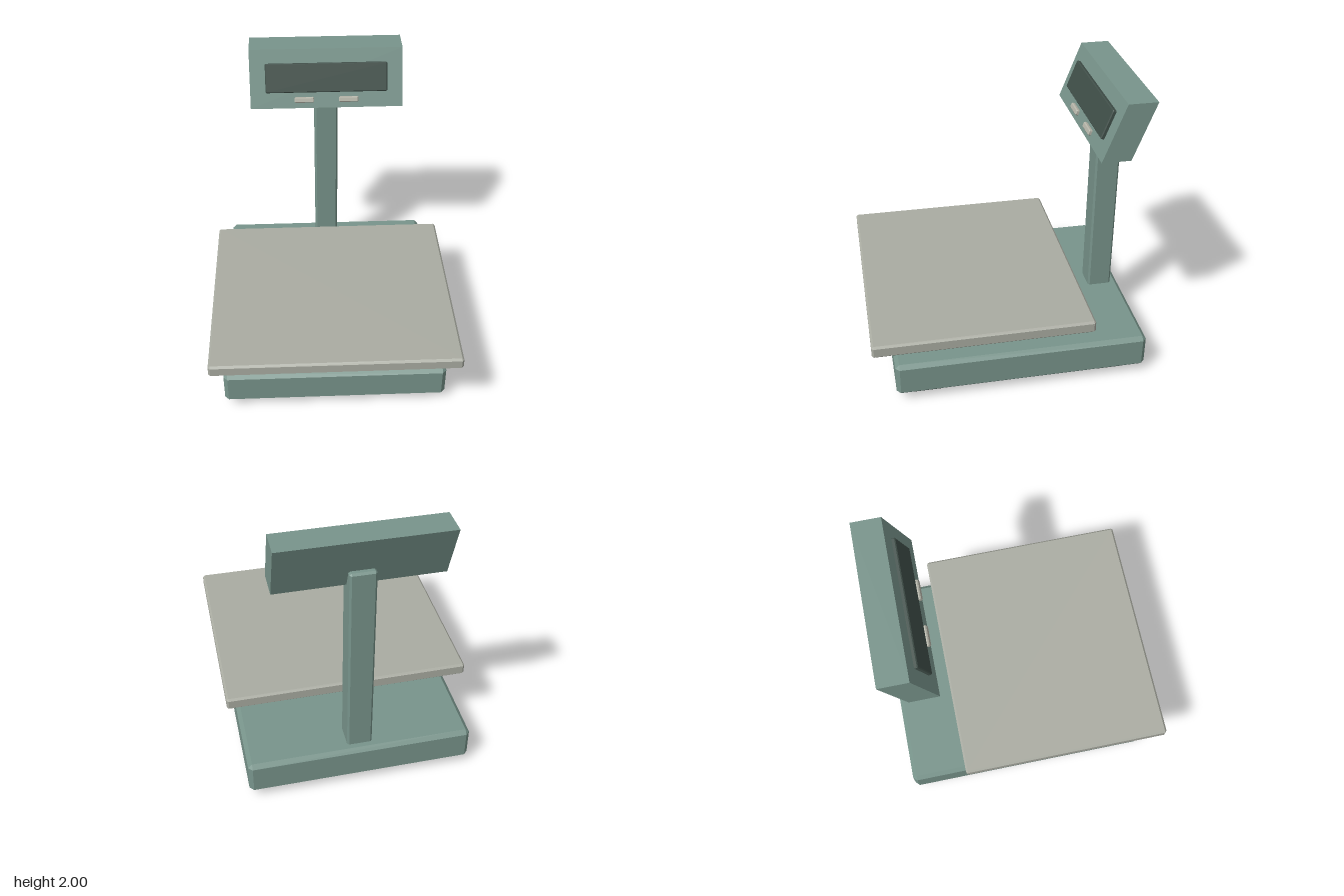
import * as THREE from 'three';
import { ConvexGeometry } from 'three/addons/geometries/ConvexGeometry.js';

const paint = (color) => new THREE.MeshStandardMaterial({ color });

// Box with every edge cut at 45 degrees by c
function chamferBox(w, h, d, c) {
  const points = [];
  for (const sx of [-1, 1]) for (const sy of [-1, 1]) for (const sz of [-1, 1]) {
    const x = w / 2, y = h / 2, z = d / 2;
    points.push(
      new THREE.Vector3(sx * x, sy * (y - c), sz * (z - c)),
      new THREE.Vector3(sx * (x - c), sy * y, sz * (z - c)),
      new THREE.Vector3(sx * (x - c), sy * (y - c), sz * z)
    );
  }
  return new ConvexGeometry(points);
}

function add(parent, name, geometry, material, x, y, z) {
  const mesh = new THREE.Mesh(geometry, material);
  mesh.name = name;
  mesh.position.set(x, y, z);
  parent.add(mesh);
  return mesh;
}

export function createModel() {
  const model = new THREE.Group();
  model.name = 'platformScale';
  const green = paint(0x78948b);
  const steel = paint(0xaaaca2);
  const dark = paint(0x404f49);
  const rubber = paint(0x484c4a);
  const button = paint(0xb4b4a8);

  // Base and its four feet
  add(model, 'base', chamferBox(1.56, 0.25, 1.77, 0.028), green, 0, 0.175, -0.075);
  const footGeometry = chamferBox(0.2, 0.06, 0.2, 0.012);
  for (const x of [-0.61, 0.61]) for (const z of [-0.735, 0.585]) {
    add(model, 'foot', footGeometry, rubber, x, 0.03, z);
  }

  // Weighing platter on its support block
  add(model, 'platterSupport', chamferBox(0.61, 0.21, 0.5, 0.012), steel, 0, 0.385, 0.2);
  add(model, 'platter', chamferBox(1.715, 0.09, 1.515, 0.014), steel, 0, 0.51, 0.2025);

  // Column at the back
  add(model, 'column', chamferBox(0.174, 1.45, 0.174, 0.013), green, 0, 1.005, -0.81);

  // Display housing: a box sheared backwards
  const lean = 0.375;
  const housing = new THREE.BoxGeometry(1.11, 0.4, 0.2);
  housing.applyMatrix4(new THREE.Matrix4().set(
    1, 0, 0, 0,
    0, 1, 0, 0,
    0, -lean, 1, 0,
    0, 0, 0, 1
  ));
  add(model, 'displayHousing', housing, green, 0, 1.8, -0.785);

  // Screen and buttons lie on the leaning front face
  const panel = new THREE.Group();
  panel.name = 'frontPanel';
  panel.position.set(0, 1.8, -0.685);
  panel.rotation.x = -Math.atan(lean);
  model.add(panel);
  add(panel, 'screen', chamferBox(0.885, 0.21, 0.05, 0.006), dark, 0, 0.008, 0);
  for (const x of [-0.162, 0.162]) {
    add(panel, 'button', chamferBox(0.142, 0.04, 0.044, 0.007), button, x, -0.152, 0.002);
  }
  return model;
}
